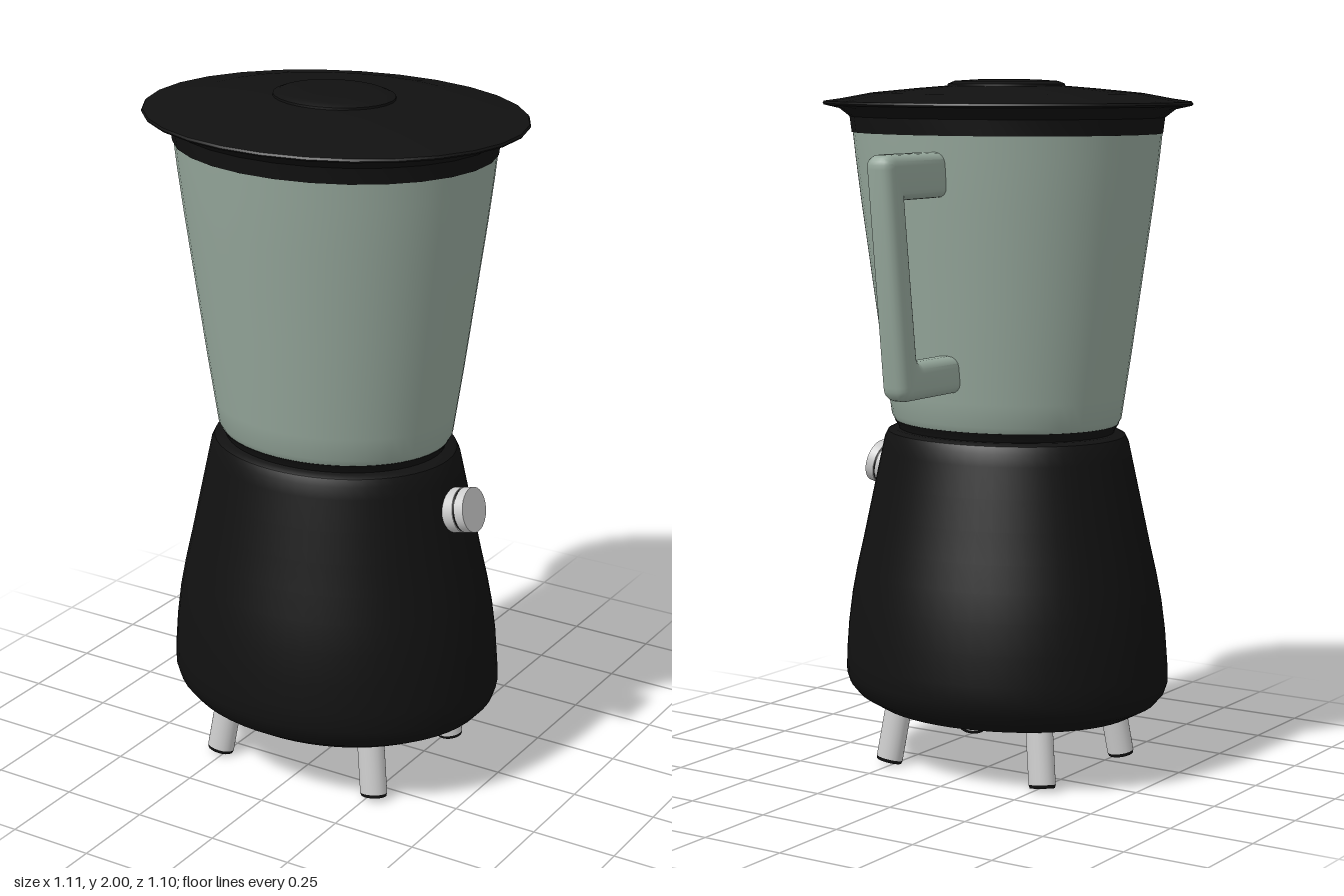
import * as THREE from 'three';
import { toCreasedNormals } from 'three/addons/utils/BufferGeometryUtils.js';

const black = new THREE.MeshStandardMaterial({ color: 0x111111 });
const green = new THREE.MeshStandardMaterial({ color: 0x96a89c });
const grey = new THREE.MeshStandardMaterial({ color: 0xcccccc });
const OVAL = 0.833; // depth of the oval body relative to its width
const AXIS_Z = 0.095; // body axis, set forward to balance the handle

function addMesh(parent, name, geometry, material) {
  const mesh = new THREE.Mesh(geometry, material);
  mesh.name = name;
  parent.add(mesh);
  return mesh;
}

// Oval turned solid from a [radius, height] profile running bottom to top
function ovalLathe(profile, sides) {
  const points = profile.map(([r, y]) => new THREE.Vector2(r, y));
  const geometry = new THREE.LatheGeometry(points, sides, Math.PI / sides);
  geometry.scale(1, 1, OVAL);
  return toCreasedNormals(geometry, 0.6);
}

// C-shaped handle drawn as (distance behind centre, height), with rounded edges
function handleGeometry() {
  const s = new THREE.Shape();
  s.moveTo(0.25, 1.805);
  s.lineTo(0.51, 1.805);
  s.quadraticCurveTo(0.552, 1.805, 0.548, 1.765);
  s.lineTo(0.479, 1.17);
  s.quadraticCurveTo(0.474, 1.13, 0.435, 1.13);
  s.lineTo(0.17, 1.13);
  s.lineTo(0.17, 1.235);
  s.lineTo(0.385, 1.235);
  s.quadraticCurveTo(0.402, 1.235, 0.405, 1.255);
  s.lineTo(0.458, 1.68);
  s.lineTo(0.25, 1.68);
  s.closePath();
  const bevel = 0.03;
  const width = 0.086;
  const geometry = new THREE.ExtrudeGeometry(s, {
    depth: width - 2 * bevel, bevelSize: bevel, bevelThickness: bevel,
    bevelOffset: -bevel, bevelSegments: 4, curveSegments: 6,
  });
  geometry.translate(0, 0, -(width / 2 - bevel));
  geometry.rotateY(Math.PI / 2);
  return toCreasedNormals(geometry, 0.6);
}

export function createModel() {
  const model = new THREE.Group();
  model.name = 'blender';
  const body = new THREE.Group();
  body.name = 'body';
  body.position.z = AXIS_Z;
  model.add(body);

  // Motor base, shallow dome underneath
  addMesh(body, 'motorBase', ovalLathe([
    [0, 0.13], [0.14, 0.13], [0.27, 0.15], [0.4, 0.175], [0.46, 0.207], [0.485, 0.235],
    [0.495, 0.265], [0.494, 0.32], [0.487, 0.41], [0.475, 0.5], [0.459, 0.58],
    [0.44, 0.66], [0.42, 0.75], [0.4, 0.84], [0.38, 0.93], [0.372, 0.965],
    [0.362, 0.985], [0.345, 0.993], [0, 0.995],
  ], 56), black);

  // Collar between base and jar
  addMesh(body, 'collar', ovalLathe([[0, 0.98], [0.325, 0.98], [0.33, 1.0], [0.342, 1.018], [0, 1.02]], 56), black);

  addMesh(body, 'jar', ovalLathe([
    [0, 1.005], [0.32, 1.01], [0.34, 1.018], [0.35, 1.035], [0.36, 1.1], [0.38, 1.23], [0.4, 1.37],
    [0.42, 1.51], [0.44, 1.65], [0.457, 1.78], [0.467, 1.87], [0, 1.87],
  ], 56), green);

  // Lid with flared rim and low central cap
  addMesh(body, 'lid', ovalLathe([
    [0, 1.85], [0.468, 1.85], [0.474, 1.895], [0.505, 1.918], [0.552, 1.928], [0.556, 1.933],
    [0.552, 1.939], [0.5, 1.946], [0.41, 1.962], [0.27, 1.975], [0.18, 1.982], [0, 1.982],
  ], 28), black);
  addMesh(body, 'lidCap', ovalLathe([
    [0, 1.97], [0.178, 1.97], [0.176, 1.988], [0.155, 1.996], [0.09, 2.0], [0, 2.0],
  ], 28), black);

  addMesh(model, 'handle', handleGeometry(), green);

  // Control knob on the left side, tilted with the base wall
  const knob = new THREE.Group();
  knob.name = 'controlKnob';
  knob.position.set(0.398, 0.848, 0);
  knob.rotation.z = -Math.PI / 2 + 0.23;
  body.add(knob);
  const knobParts = [
    ['knobBase', 0.064, -0.02, 0.026, grey],
    ['knobGroove', 0.061, 0.026, 0.033, black],
    ['knobFace', 0.064, 0.033, 0.06, grey],
  ];
  for (const [name, r, from, to, material] of knobParts) {
    const part = addMesh(knob, name, new THREE.CylinderGeometry(r, r, to - from, 32), material);
    part.position.y = (from + to) / 2;
  }

  // Four splayed legs with dark foot pads
  const legs = new THREE.Group();
  legs.name = 'legs';
  legs.scale.z = OVAL;
  body.add(legs);
  for (const sx of [-1, 1]) {
    for (const sz of [-1, 1]) {
      const leg = new THREE.Group();
      leg.name = 'leg';
      const foot = new THREE.Vector3(sx * 0.266, 0.008, sz * 0.266);
      const top = new THREE.Vector3(sx * 0.241, 0.19, sz * 0.241);
      leg.position.copy(foot);
      leg.quaternion.setFromUnitVectors(new THREE.Vector3(0, 1, 0), top.clone().sub(foot).normalize());
      addMesh(leg, 'legPost', new THREE.CylinderGeometry(0.041, 0.041, 0.18, 20), grey).position.y = 0.1;
      addMesh(leg, 'footPad', new THREE.CylinderGeometry(0.041, 0.038, 0.01, 20), black).position.y = 0.005;
      legs.add(leg);
    }
  }
  return model;
}
